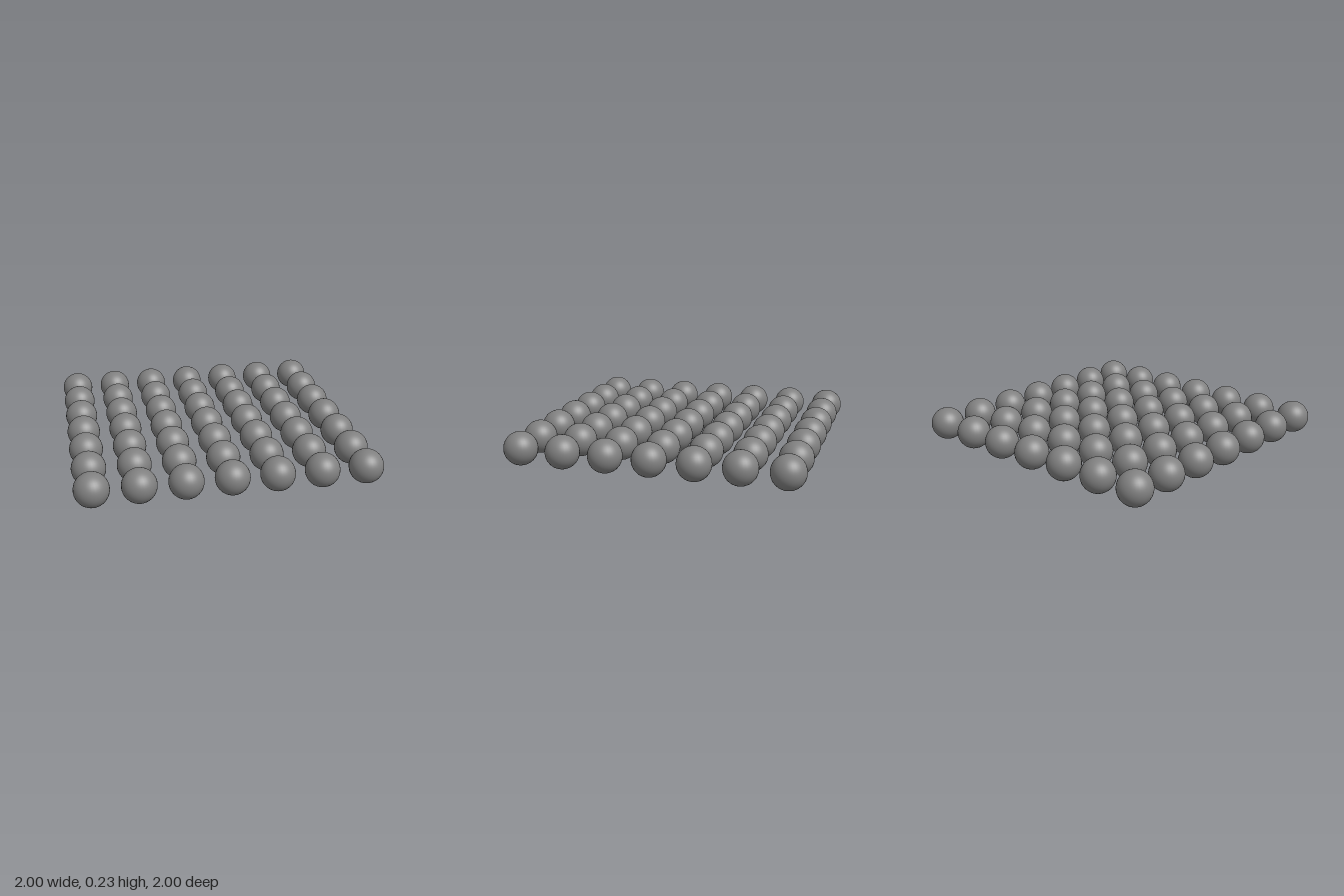
import * as THREE from 'three';

const COUNT = 7; // balls per side
const RADIUS = 0.1136;
const SPACING = 0.2955;

export function createModel() {
  const model = new THREE.Group();
  model.name = 'ballGrid';

  const material = new THREE.MeshStandardMaterial({ color: 0x808080 });
  const ballGeometry = new THREE.SphereGeometry(RADIUS, 32, 24);
  const offset = (i) => (i - (COUNT - 1) / 2) * SPACING;

  // Rows run from back to front, balls within a row from right to left
  for (let r = 0; r < COUNT; r++) {
    const row = new THREE.Group();
    row.name = `row${r + 1}`;
    row.position.set(0, RADIUS, offset(r));
    for (let c = 0; c < COUNT; c++) {
      const ball = new THREE.Mesh(ballGeometry, material);
      ball.name = `ball${c + 1}`;
      ball.position.x = offset(c);
      row.add(ball);
    }
    model.add(row);
  }
  return model;
}
